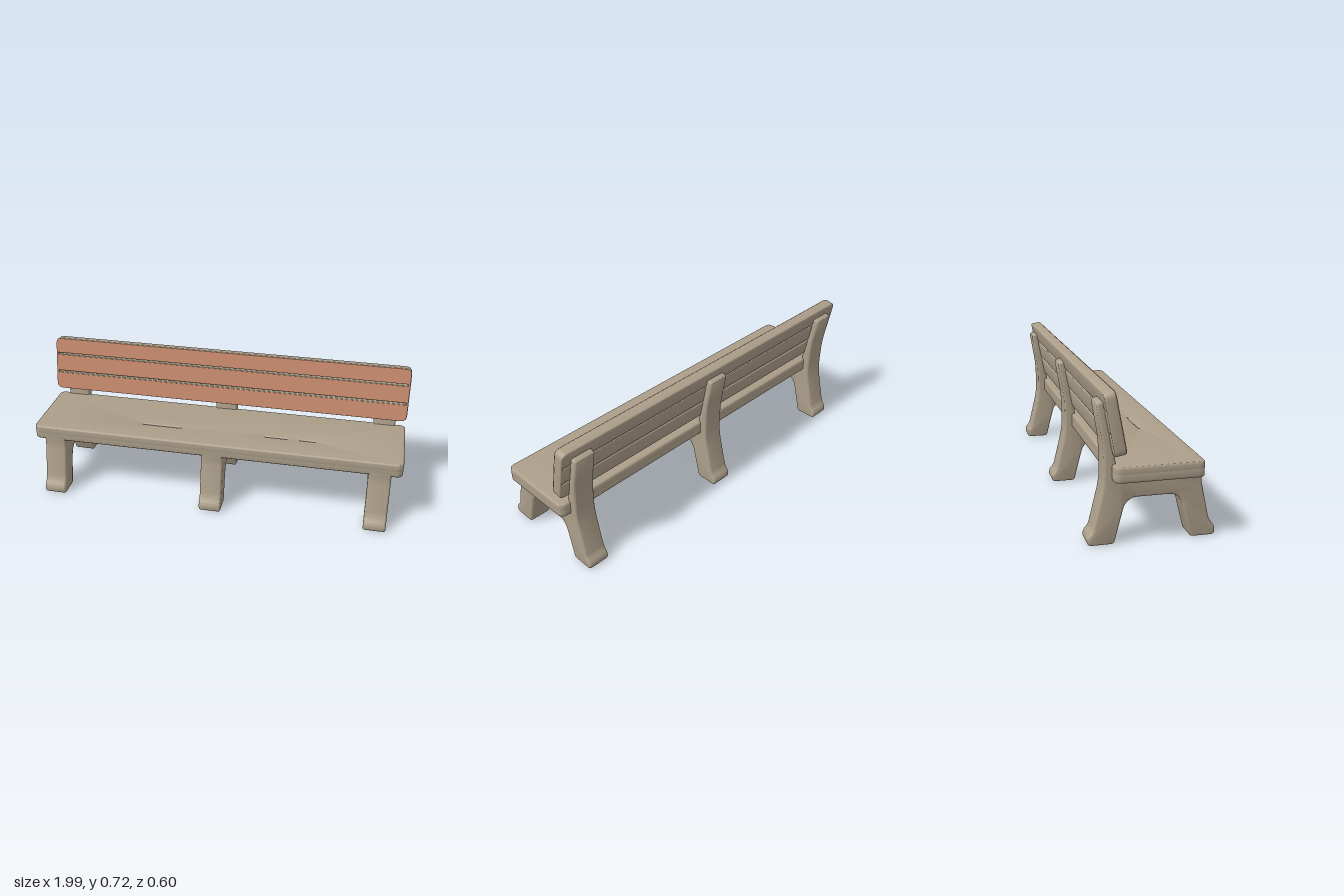
import * as THREE from 'three';
import { toCreasedNormals } from 'three/addons/utils/BufferGeometryUtils.js';

const stone = new THREE.MeshStandardMaterial({ color: 0xac9f8a });
stone.name = 'stone';
const terracotta = new THREE.MeshStandardMaterial({ color: 0xc98a6e });
terracotta.name = 'terracotta';

// Closed outline from [x, y, cornerRadius] points
function outline(points, Kind = THREE.Shape) {
  const path = new Kind();
  const n = points.length;
  points.forEach(([x, y, r], i) => {
    const p = new THREE.Vector2(x, y);
    const toward = (q) => {
      const d = new THREE.Vector2(q[0] - x, q[1] - y);
      return p.clone().addScaledVector(d.normalize(), r);
    };
    const a = toward(points[(i + n - 1) % n]);
    const b = toward(points[(i + 1) % n]);
    if (i === 0) path.moveTo(a.x, a.y);
    else path.lineTo(a.x, a.y);
    path.quadraticCurveTo(x, y, b.x, b.y);
  });
  path.closePath();
  return path;
}

function rect(x0, y0, x1, y1, r, Kind) {
  return outline([[x0, y0, r], [x1, y0, r], [x1, y1, r], [x0, y1, r]], Kind);
}

// Extrude to an exact thickness with softened edges
function slab(shape, thickness, bevel) {
  const geometry = new THREE.ExtrudeGeometry(shape, {
    depth: thickness - 2 * bevel,
    bevelEnabled: bevel > 0,
    bevelThickness: bevel,
    bevelSize: bevel,
    bevelOffset: -bevel,
    bevelSegments: 3,
    curveSegments: 6,
  });
  geometry.translate(0, 0, bevel);
  return toCreasedNormals(geometry, 0.7);
}

function addMesh(parent, name, geometry, material) {
  const mesh = new THREE.Mesh(geometry, material);
  mesh.name = name;
  parent.add(mesh);
  return mesh;
}

export function createModel() {
  const bench = new THREE.Group();
  bench.name = 'bench';

  // Side frames: two splayed legs, an arch and a back post, as [z, y, radius]
  const frameShape = outline([
    [0.182, 0.003, 0.015], [0.302, 0.003, 0.02], [0.302, 0.042, 0.015],
    [0.272, 0.08, 0.025], [0.23, 0.275, 0.02], [0.23, 0.34, 0.015],
    [-0.17, 0.36, 0.01], [-0.178, 0.44, 0.03], [-0.222, 0.672, 0.012],
    [-0.262, 0.662, 0.012], [-0.229, 0.47, 0.06], [-0.225, 0.29, 0.06],
    [-0.278, 0.068, 0.02], [-0.302, 0.042, 0.015], [-0.302, 0.003, 0.02],
    [-0.179, 0.003, 0.015], [-0.123, 0.22, 0.055], [0.128, 0.22, 0.055],
  ]);
  const frameWidth = 0.118;
  const frameGeometry = slab(frameShape, frameWidth, 0.011);
  frameGeometry.translate(0, 0, -frameWidth / 2);
  frameGeometry.rotateY(-Math.PI / 2);
  [['rightFrame', -0.882], ['middleFrame', -0.002], ['leftFrame', 0.882]].forEach(([name, x]) => {
    addMesh(bench, name, frameGeometry, stone).position.x = x;
  });

  // Seat: grooved lower layer and an almost unbroken top; shape y becomes -z
  const seatShape = () => rect(-0.997, -0.23, 0.997, 0.19, 0.035);
  const lower = seatShape();
  for (const z of [0.083, -0.055]) {
    for (const [x0, x1] of [[-0.82, -0.06], [0.06, 0.82]]) {
      lower.holes.push(rect(x0, -z - 0.006, x1, -z + 0.006, 0.004, THREE.Path));
    }
  }
  const upper = seatShape();
  for (const [x0, x1] of [[-0.42, -0.2], [0.26, 0.38], [0.45, 0.53]]) {
    upper.holes.push(rect(x0, -0.086, x1, -0.081, 0.002, THREE.Path));
  }
  [['seatUnderside', lower, 0.309], ['seatTop', upper, 0.335]].forEach(([name, shape, y]) => {
    const geometry = slab(shape, 0.049, 0.008);
    geometry.rotateX(-Math.PI / 2);
    addMesh(bench, name, geometry, stone).position.y = y;
  });

  // Backrest: tilted panel divided into three boards by two long slots
  const backrest = new THREE.Group();
  backrest.name = 'backrest';
  backrest.position.set(0, 0.435, -0.135);
  backrest.rotation.x = -0.187;
  bench.add(backrest);
  const height = 0.297;
  const panelShape = (inset, slot) => {
    const shape = rect(-0.997 + inset, inset, 0.997 - inset, height - inset, 0.035);
    for (const y of [0.101, 0.206]) {
      shape.holes.push(rect(-0.985, y - slot, 0.985, y + slot, 0.003, THREE.Path));
    }
    return shape;
  };
  addMesh(backrest, 'backrestBoards', slab(panelShape(0, 0.004), 0.053, 0.006), stone)
    .position.z = -0.053;
  addMesh(backrest, 'paintedBoardFaces', slab(panelShape(0.003, 0.007), 0.008, 0), terracotta)
    .position.z = -0.006;

  return bench;
}
